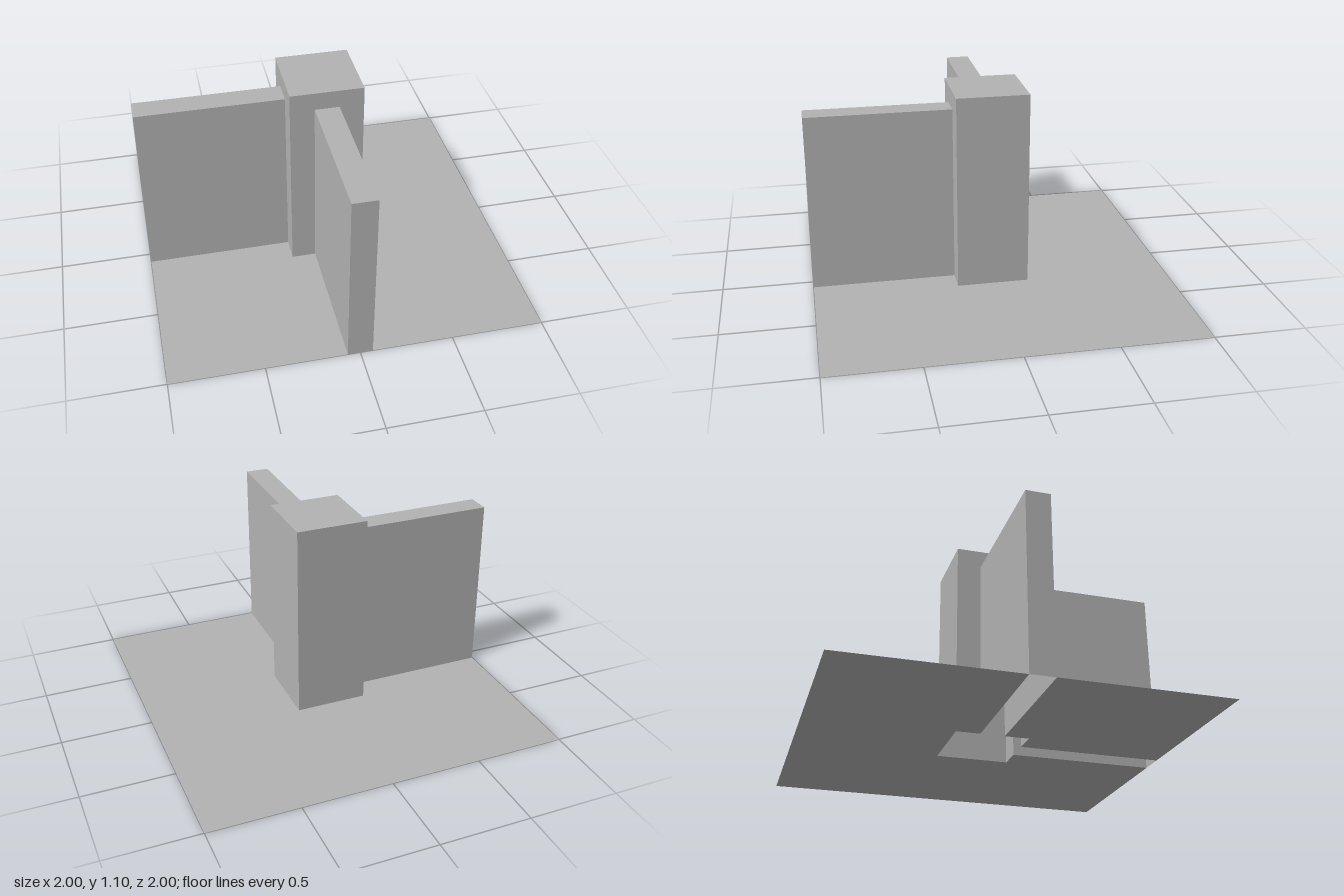
import * as THREE from 'three';

const W = 0.067; // half thickness of the walls
const P = 0.2;   // half width of the pillar
const WALL_H = 1, PILLAR_H = 1.1;

const stone = new THREE.MeshStandardMaterial({ color: 0xb2b2b2, side: THREE.DoubleSide });
stone.name = 'stone grey';

function add(parent, name, geometry) {
  const mesh = new THREE.Mesh(geometry, stone);
  mesh.name = name;
  parent.add(mesh);
  return mesh;
}

const panel = (points) =>
  new THREE.ShapeGeometry(new THREE.Shape(points.map(([x, y]) => new THREE.Vector2(x, y))));

// Flat ground piece from [x, z] corners, facing up
const ground = (points) => panel(points.map(([x, z]) => [x, -z])).rotateX(-Math.PI / 2);

// Hollow wall running from the pillar to +z, open below and towards the pillar
function createWall(name) {
  const wall = new THREE.Group();
  wall.name = name;
  const length = 1 - P, mid = (1 + P) / 2;
  for (const s of [-1, 1]) {
    add(wall, 'wallSide', new THREE.PlaneGeometry(length, WALL_H)
      .rotateY(s * Math.PI / 2).translate(s * W, WALL_H / 2, mid));
  }
  add(wall, 'wallTop', new THREE.PlaneGeometry(2 * W, length)
    .rotateX(-Math.PI / 2).translate(0, WALL_H, mid));
  add(wall, 'wallEnd', new THREE.PlaneGeometry(2 * W, WALL_H).translate(0, WALL_H / 2, 1));
  return wall;
}

// Hollow pillar, with openings on the two sides that meet the walls
function createPillar() {
  const pillar = new THREE.Group();
  pillar.name = 'pillar';
  const plain = [[-P, 0], [P, 0], [P, PILLAR_H], [-P, PILLAR_H]];
  const open = [[-P, 0], [-W, 0], [-W, WALL_H], [W, WALL_H], [W, 0],
    [P, 0], [P, PILLAR_H], [-P, PILLAR_H]];
  // front, left, back, right
  [open, plain, plain, open].forEach((points, i) => {
    add(pillar, 'pillarSide', panel(points).translate(0, 0, P).rotateY(i * Math.PI / 2));
  });
  add(pillar, 'pillarTop', new THREE.PlaneGeometry(2 * P, 2 * P)
    .rotateX(-Math.PI / 2).translate(0, PILLAR_H, 0));
  return pillar;
}

export function createModel() {
  const model = new THREE.Group();
  model.name = 'cornerWall';

  // Ground sheet, cut away beneath the walls and pillar
  add(model, 'outerGround', ground([[-1, -1], [-1, -W], [-P, -W], [-P, -P], [P, -P],
    [P, P], [W, P], [W, 1], [1, 1], [1, -1]]));
  add(model, 'cornerGround', ground([[-1, W], [-P, W], [-P, P], [-W, P], [-W, 1], [-1, 1]]));

  model.add(createPillar());
  model.add(createWall('frontWall'));
  const sideWall = createWall('sideWall');
  sideWall.rotation.y = -Math.PI / 2;
  model.add(sideWall);
  return model;
}
